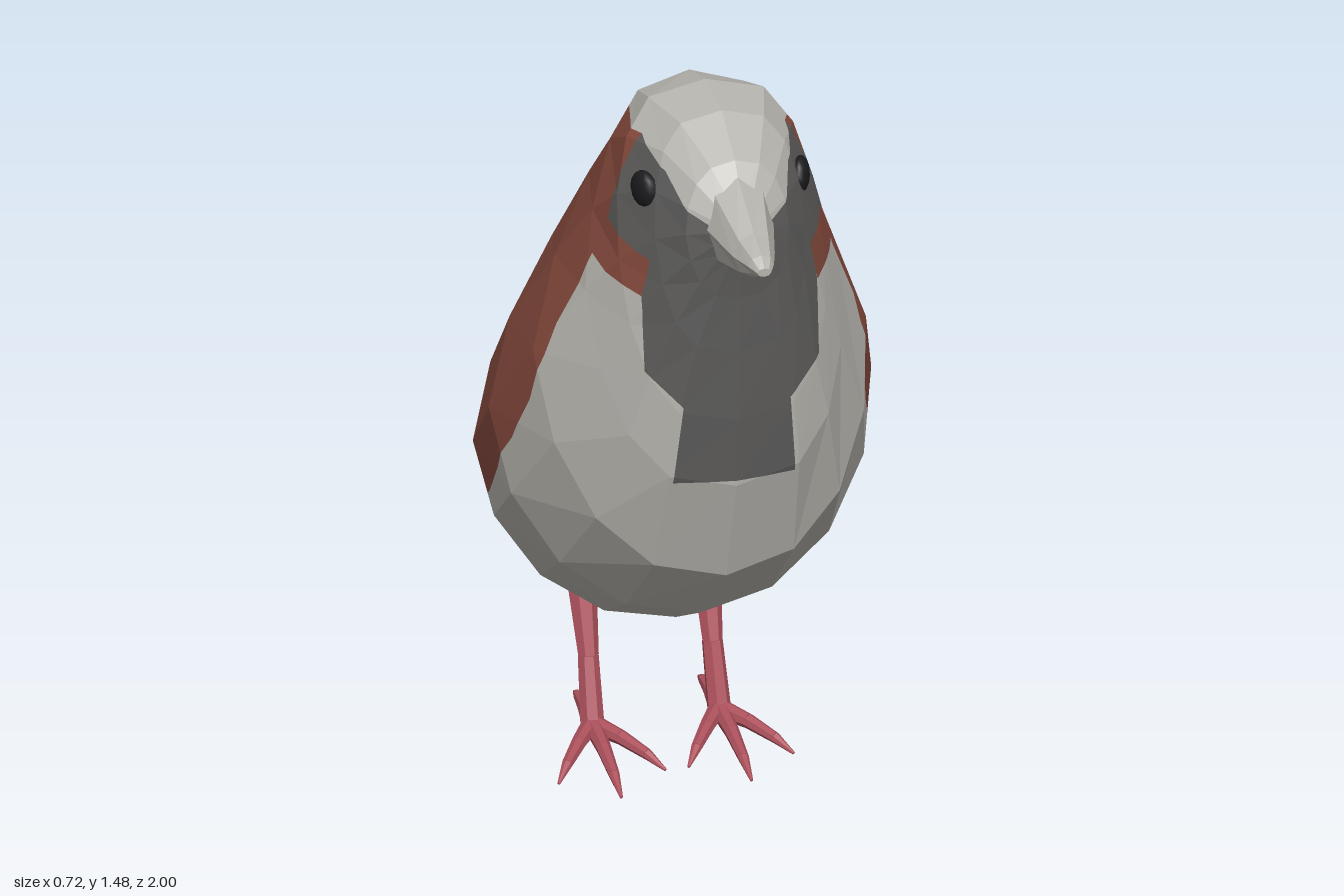
import * as THREE from 'three';

const mat = (name, color) => {
  const m = new THREE.MeshStandardMaterial({ color });
  m.name = name;
  return m;
};

// Rings are [topZ, topY, bottomZ, bottomY, halfWidth, upperTaper, roundness], front to back.
// Returns a list of triangles, each three [x, y, z] corners.
function loft(rings, sides) {
  const pts = rings.map(([tz, ty, bz, by, w, taper = 0, power = 1]) => Array.from({ length: sides }, (_, j) => {
    const a = (j / sides) * Math.PI * 2, c = Math.cos(a), s = Math.sin(a);
    const x = w * Math.sign(s) * Math.abs(s) ** power * (1 - taper * Math.max(c, 0));
    return [x, (ty + by) / 2 + c * (ty - by) / 2, (tz + bz) / 2 + c * (tz - bz) / 2];
  }));
  const mid = ([tz, ty, bz, by]) => [0, (ty + by) / 2, (tz + bz) / 2];
  const last = rings.length - 1, tris = [];
  for (let j = 0; j < sides; j++) {
    const k = (j + 1) % sides;
    tris.push([mid(rings[0]), pts[0][k], pts[0][j]]);
    for (let i = 0; i < last; i++) {
      tris.push([pts[i][j], pts[i][k], pts[i + 1][k]], [pts[i][j], pts[i + 1][k], pts[i + 1][j]]);
    }
    tris.push([mid(rings[last]), pts[last][j], pts[last][k]]);
  }
  return tris;
}

function toGeometry(tris) {
  const g = new THREE.BufferGeometry();
  g.setAttribute('position', new THREE.Float32BufferAttribute(tris.flat(2), 3));
  g.computeVertexNormals();
  return g;
}

// Splits the triangles along segment p-q, seen along an axis (u is 0 for x or 2 for z)
function cut(tris, u, p, q) {
  const out = [];
  const dist = (v) => (q[0] - p[0]) * (v[1] - p[1]) - (q[1] - p[1]) * (v[u] - p[0]);
  const apart = (t, axis, a, b) => {
    const s = t.map((v) => v[axis]);
    return Math.max(...s) < Math.min(a, b) || Math.min(...s) > Math.max(a, b);
  };
  for (const t of tris) {
    const d = t.map(dist);
    if (apart(t, u, p[0], q[0]) || apart(t, 1, p[1], q[1]) || Math.min(...d) > -1e-7 || Math.max(...d) < 1e-7) {
      out.push(t);
      continue;
    }
    for (const sign of [1, -1]) {
      const poly = [];
      for (let i = 0; i < 3; i++) {
        const k = (i + 1) % 3, a = t[i], b = t[k];
        if (d[i] * sign >= 0) poly.push(a);
        if (d[i] * d[k] < 0) poly.push(a.map((s, n) => s + (b[n] - s) * d[i] / (d[i] - d[k])));
      }
      for (let i = 2; i < poly.length; i++) out.push([poly[0], poly[i - 1], poly[i]]);
    }
  }
  return out;
}

function inside(poly, x, y) {
  let hit = false;
  poly.forEach(([x1, y1], i) => {
    const [x2, y2] = poly[(i + 1) % poly.length];
    if ((y1 > y) !== (y2 > y) && x < x1 + (x2 - x1) * (y - y1) / (y2 - y1)) hit = !hit;
  });
  return hit;
}

export function createModel() {
  const grey = mat('paleGrey', 0xb6b4ae);
  const brown = mat('chestnut', 0x84493c);
  const dark = mat('darkGrey', 0x5b5a59);
  const pink = mat('legPink', 0xae525d);
  const black = mat('eyeBlack', 0x1c1c1f);

  const bird = new THREE.Group();
  bird.name = 'bird';
  const add = (parent, name, geometry, material) => {
    const m = new THREE.Mesh(geometry, material);
    m.name = name;
    parent.add(m);
    return m;
  };

  // Body and head
  let body = loft([
    [0.85, 1.36, 0.86, 1.25, 0.05],
    [0.81, 1.415, 0.855, 1.18, 0.09, 0, 0.8],
    [0.72, 1.47, 0.855, 1.08, 0.132, 0, 0.62],
    [0.61, 1.485, 0.855, 0.95, 0.182, 0, 0.6],
    [0.50, 1.46, 0.85, 0.82, 0.228, 0.2, 0.7],
    [0.41, 1.385, 0.79, 0.61, 0.305, 0.33, 0.9],
    [0.32, 1.22, 0.62, 0.44, 0.36, 0.2],
    [0.17, 1.03, 0.44, 0.33, 0.358, 0.15],
    [0.00, 0.83, 0.24, 0.297, 0.31, 0.15],
    [-0.20, 0.62, 0.00, 0.315, 0.195, 0.1],
    [-0.40, 0.45, -0.30, 0.335, 0.066],
  ], 16);

  // Plumage regions, first match wins; outlines in side (z, y) or front (x, y)
  const regions = [
    { name: 'cap', material: grey, u: 2, poly: [[0.41, 1.6], [0.42, 1.385], [0.48, 1.412], [0.67, 1.42], [0.76, 1.385], [0.86, 1.31], [1.1, 1.31], [1.1, 1.6]] },
    { name: 'back', material: brown, u: 2, poly: [[0.67, 1.6], [0.67, 1.27], [0.785, 1.235], [0.785, 1.17], [0.655, 1.2], [0.625, 1.0],
      [0.595, 0.9], [0.54, 0.8], [0.46, 0.7], [0.36, 0.6], [0.25, 0.52], [0.085, 0.455], [-0.1, 0.42], [-0.32, 0.365], [-0.6, 0.3], [-0.6, 1.6]] },
    { name: 'mask', material: dark, u: 2, poly: [[0.67, 1.6], [0.67, 1.27], [0.785, 1.235], [1.1, 1.2], [1.1, 1.6]] },
    { name: 'bib', material: dark, u: 0, poly: [[-0.155, 1.27], [-0.155, 1.04], [-0.095, 0.98], [-0.11, 0.83],
      [0.11, 0.83], [0.095, 0.98], [0.155, 1.04], [0.155, 1.27]] },
    { name: 'belly', material: grey },
  ];
  for (const { u, poly } of regions.slice(0, 4)) {
    poly.forEach((p, i) => { body = cut(body, u, p, poly[(i + 1) % poly.length]); });
  }
  const painted = regions.map(() => []);
  for (const t of body) {
    const c = [0, 1, 2].map((n) => (t[0][n] + t[1][n] + t[2][n]) / 3);
    const i = regions.findIndex((r) => !r.poly || (inside(r.poly, c[r.u], c[1]) && (r.u === 2 || c[2] > 0.7)));
    painted[i].push(t);
  }
  regions.forEach((r, i) => add(bird, r.name, toGeometry(painted[i]), r.material));

  // Beak
  add(bird, 'beak', toGeometry(loft([
    [1.0, 1.3, 1.0, 1.285, 0.012],
    [0.98, 1.315, 0.98, 1.278, 0.022],
    [0.93, 1.335, 0.94, 1.258, 0.036],
    [0.82, 1.395, 0.845, 1.23, 0.062],
  ], 8)), grey);

  // Tail feathers: root top, root bottom, tip z, tip top, tip bottom
  const tail = new THREE.Group();
  tail.name = 'tail';
  bird.add(tail);
  [
    [0.46, 0.43, -0.97, 0.252, 0.243, brown],
    [0.435, 0.41, -1.0, 0.228, 0.217, brown],
    [0.41, 0.385, -0.94, 0.222, 0.206, brown],
    [0.388, 0.36, -0.895, 0.206, 0.19, grey],
    [0.37, 0.337, -0.81, 0.212, 0.2, grey],
  ].forEach(([rt, rb, z, tt, tb, m], i) => {
    add(tail, 'tailFeather' + (i + 1), toGeometry(loft([
      [-0.36, rt, -0.28, rb, 0.068, 0, 0.7],
      [z, tt, z, tb, 0.027, 0, 0.7],
    ], 8)), m);
  });

  // Tapered limb through points, with a radius for each
  const limb = (parent, name, points, radii) => {
    const g = new THREE.Group();
    g.name = name;
    parent.add(g);
    for (let i = 1; i < points.length; i++) {
      const a = new THREE.Vector3(...points[i - 1]), b = new THREE.Vector3(...points[i]);
      const dir = b.clone().sub(a);
      const geo = new THREE.CylinderGeometry(radii[i], radii[i - 1], dir.length(), 7).toNonIndexed();
      geo.computeVertexNormals();
      const m = add(g, name + 'Part', geo, pink);
      m.position.copy(a).add(b).multiplyScalar(0.5);
      m.quaternion.setFromUnitVectors(new THREE.Vector3(0, 1, 0), dir.normalize());
    }
  };

  for (const [side, s] of [['left', 1], ['right', -1]]) {
    // Eye, set slightly into the face
    const eye = add(bird, side + 'Eye', new THREE.SphereGeometry(0.034, 12, 8), black);
    eye.position.set(s * 0.137, 1.343, 0.732);
    eye.scale.x = 0.5;
    eye.rotation.y = -s * 0.36;

    // Leg, three front toes and one hind toe
    const leg = new THREE.Group();
    leg.name = side + 'Leg';
    bird.add(leg);
    limb(leg, 'shank', [[s * 0.125, 0.36, 0.15], [s * 0.125, 0.27, 0.19], [s * 0.125, 0.15, 0.24], [s * 0.128, 0.025, 0.285]],
      [0.042, 0.029, 0.021, 0.024]);
    const toes = [[0, 0.245], [0.105, 0.17], [-0.105, 0.17], [0, -0.155]];
    for (const [dx, dz] of toes) {
      const at = (f, y) => [s * 0.128 + dx * f, y, 0.285 + dz * f];
      limb(leg, dz > 0 ? 'frontToe' : 'hindToe', [at(0, 0.022), at(0.4, 0.025), at(0.75, 0.018), at(1, 0.004)],
        [0.02, 0.015, 0.011, 0.003]);
    }
  }
  return bird;
}
